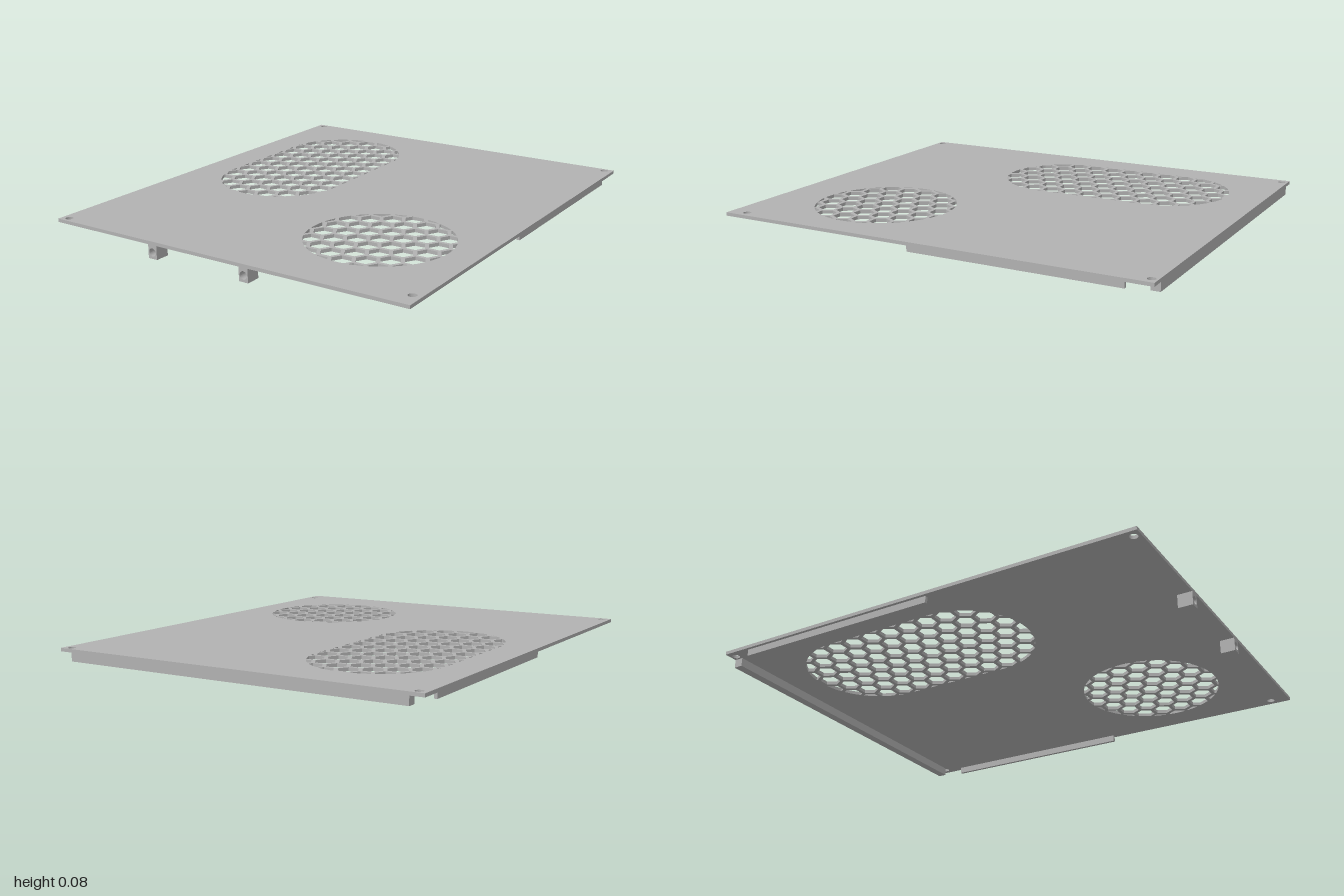
import * as THREE from 'three';

const PITCH = 0.0952;   // honeycomb row spacing
const HEX_R = 0.0456;   // hexagon corner radius
const TOP = 0.075, UNDER = 0.06;

// Convex outline of a vent: a circle, or a slot when half > 0 (counter-clockwise)
function ventOutline({ x, z, r, half }) {
  const pts = [], n = 96;
  for (let i = 0; i < n; i++) {
    const a = ((i + 0.5) / n) * Math.PI * 2;
    pts.push(new THREE.Vector2(x + r * Math.cos(a), z + r * Math.sin(a) + Math.sign(Math.sin(a)) * half));
  }
  return pts;
}

// Clip a convex polygon to a convex counter-clockwise outline
function clip(poly, outline) {
  outline.forEach((a, i) => {
    const b = outline[(i + 1) % outline.length];
    const side = p => (b.x - a.x) * (p.y - a.y) - (b.y - a.y) * (p.x - a.x);
    const out = [];
    poly.forEach((p, j) => {
      const q = poly[(j + 1) % poly.length], sp = side(p), sq = side(q);
      if (sp >= 0) out.push(p);
      if ((sp > 0 && sq < 0) || (sp < 0 && sq > 0)) out.push(p.clone().lerp(q, sp / (sp - sq)));
    });
    poly = out;
  });
  return poly.filter((p, i) => p.distanceTo(poly[(i + 1) % poly.length]) > 1e-5);
}

// Honeycomb holes of one vent, cut off at its outline
function honeycomb(vent) {
  const outline = ventOutline(vent), holes = [];
  for (let c = -5; c <= 5; c++) {
    for (let k = -9; k <= 9; k++) {
      const cx = vent.x + c * PITCH * Math.sqrt(3) / 2;
      const cz = vent.rowZ + (k + (c % 2 ? 0.5 : 0)) * PITCH;
      const hex = [];
      for (let i = 0; i < 6; i++) {
        const a = i * Math.PI / 3;
        hex.push(new THREE.Vector2(cx + HEX_R * Math.cos(a), cz + HEX_R * Math.sin(a)));
      }
      const cell = clip(hex, outline);
      if (cell.length > 2 && THREE.ShapeUtils.area(cell) > 2e-5) holes.push(new THREE.Path(cell));
    }
  }
  return holes;
}

function rectShape(w, h) {
  return new THREE.Shape([[-w, -h], [w, -h], [w, h], [-w, h]].map(([x, y]) => new THREE.Vector2(x / 2, y / 2)));
}

function roundHole(x, y, r) {
  return new THREE.Path().absarc(x, y, r, 0, Math.PI * 2, true);
}

export function createModel() {
  const model = new THREE.Group();
  model.name = 'ventedPanel';
  const grey = new THREE.MeshStandardMaterial({ color: 0xb2b2b2 });
  grey.name = 'panelGrey';

  const add = (name, geometry, x, y, z, parent = model) => {
    const mesh = new THREE.Mesh(geometry, grey);
    mesh.name = name;
    mesh.position.set(x, y, z);
    parent.add(mesh);
    return mesh;
  };

  // Flat panel with screw holes and two honeycomb vents
  const panel = rectShape(1.744, 2);
  [[-0.835, -0.973], [0.833, -0.973], [-0.835, 0.97], [0.833, 0.916]]
    .forEach(([x, z]) => panel.holes.push(roundHole(x, z, 0.0175)));
  panel.holes.push(
    ...honeycomb({ x: -0.423, z: -0.275, r: 0.297, half: 0.256, rowZ: -0.299 }),
    ...honeycomb({ x: 0.423, z: 0.469, r: 0.317, half: 0, rowZ: 0.469 }),
  );
  const panelGeo = new THREE.ExtrudeGeometry(panel, { depth: TOP - UNDER, bevelEnabled: false, curveSegments: 12 });
  panelGeo.rotateX(Math.PI / 2);
  add('panel', panelGeo, 0, TOP, 0);

  // Flange under the back edge
  add('backFlange', new THREE.BoxGeometry(1.62, 0.038, 0.04), 0, 0.041, -0.98);

  // Rails under both side edges
  for (const s of [-1, 1]) {
    add(s > 0 ? 'leftRail' : 'rightRail', new THREE.BoxGeometry(0.014, 0.03, 0.945), s * 0.852, 0.045, -0.407);
  }

  // Front lugs, each with a blind round socket
  for (const x of [-0.333, 0.133]) {
    const lug = new THREE.Group();
    lug.name = 'frontLug';
    lug.position.set(x, 0.03, 0.935);
    model.add(lug);
    const face = rectShape(0.044, 0.06);
    face.holes.push(roundHole(0, -0.002, 0.0175));
    add('lugBody', new THREE.ExtrudeGeometry(face, { depth: 0.05, bevelEnabled: false, curveSegments: 12 }), 0, 0, 0.015, lug);
    add('lugBack', new THREE.BoxGeometry(0.044, 0.06, 0.015), 0, 0, 0.0075, lug);
  }
  return model;
}
